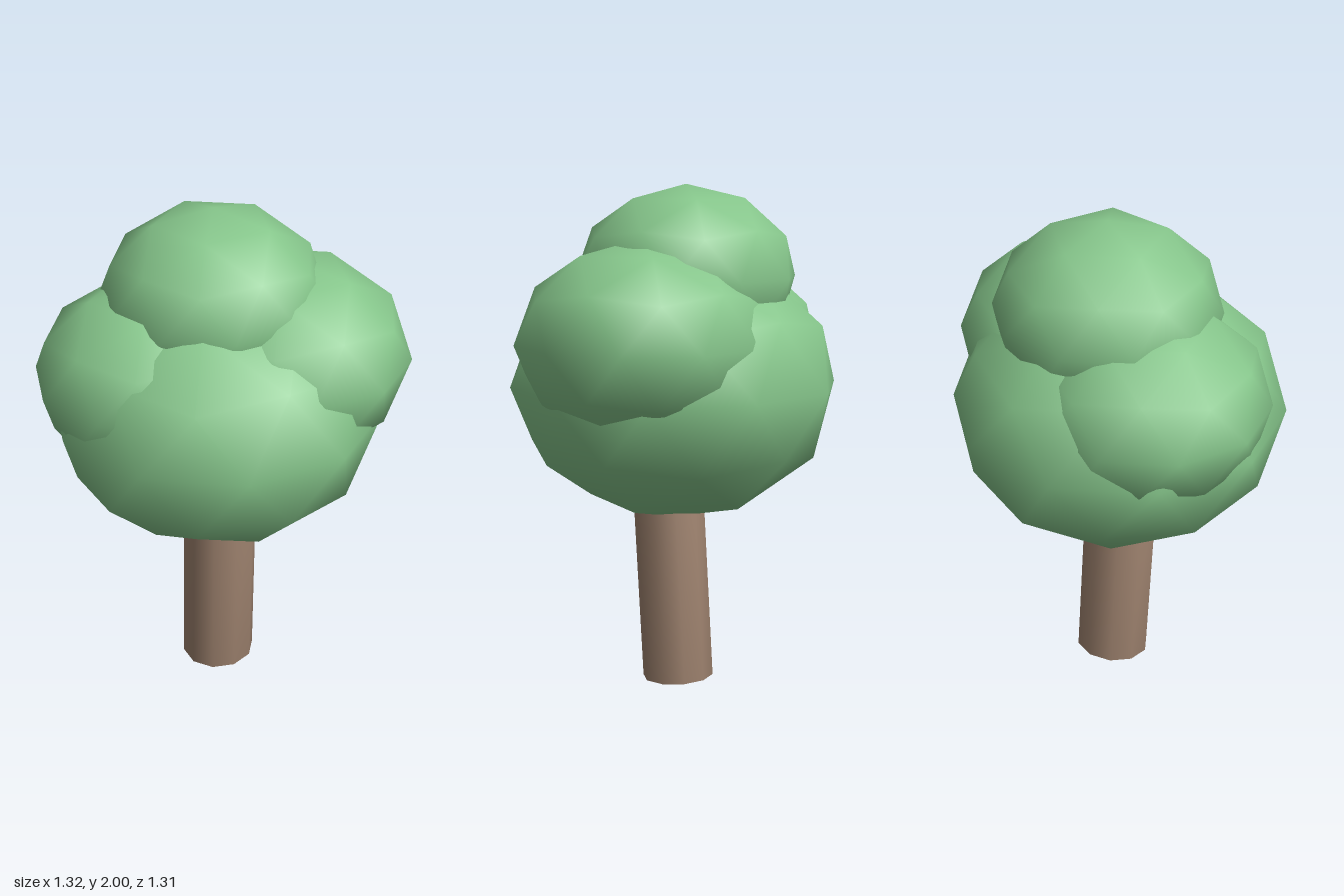
import * as THREE from 'three';
import { mergeVertices } from 'three/addons/utils/BufferGeometryUtils.js';

// Rebuild shared normals so shading runs smoothly over every edge
function smooth(geometry) {
  geometry.deleteAttribute('uv');
  geometry.deleteAttribute('normal');
  const merged = mergeVertices(geometry, 1e-4);
  merged.computeVertexNormals();
  return merged;
}

export function createModel() {
  const leafGreen = new THREE.MeshStandardMaterial({ name: 'leafGreen', color: 0x86c68b });
  const barkBrown = new THREE.MeshStandardMaterial({ name: 'barkBrown', color: 0xa08470 });
  const tree = new THREE.Group();
  tree.name = 'tree';

  // Foliage: one low-poly ball, a corner turned straight up, squashed for each clump
  const ball = new THREE.IcosahedronGeometry(1, 1);
  ball.rotateZ(-Math.atan(2 / (1 + Math.sqrt(5))));
  const clumps = [
    // name, x, y, z, radius, half height
    ['mainFoliage', -0.03, 1.21, 0, 0.655, 0.54],
    ['topFoliage', 0, 1.64, -0.04, 0.44, 0.36],
    ['frontLeftFoliage', 0.19, 1.4, 0.16, 0.494, 0.4],
    ['backRightFoliage', -0.213, 1.35, -0.15, 0.47, 0.38],
  ];
  for (const [name, x, y, z, radius, halfHeight] of clumps) {
    const shape = smooth(ball.clone().scale(radius, halfHeight, radius));
    const clump = new THREE.Mesh(shape, leafGreen);
    clump.name = name;
    clump.position.set(x, y, z);
    tree.add(clump);
  }

  // Trunk: slightly leaning ten-sided post, its top hidden in the foliage
  const height = 1;
  const post = new THREE.CylinderGeometry(0.152, 0.152, height, 10);
  post.rotateY(Math.PI / 2);
  post.scale(1, 1, 0.94);
  post.translate(0, height / 2, 0);
  const trunk = new THREE.Mesh(smooth(post), barkBrown);
  trunk.name = 'trunk';
  trunk.position.set(-0.008, 0.012, -0.01);
  trunk.rotation.set(0.047, 0, 0.033);
  tree.add(trunk);

  return tree;
}
